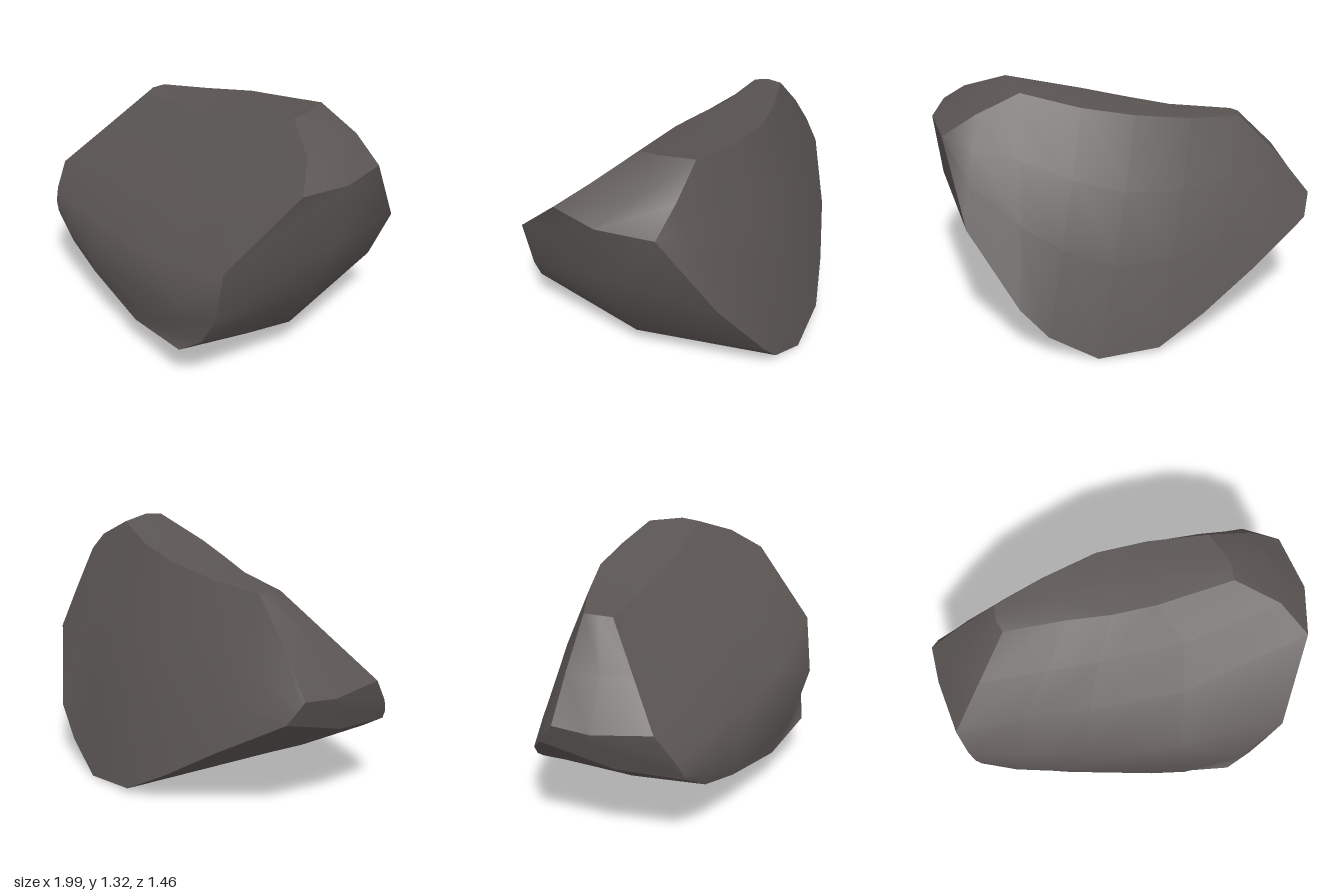
import * as THREE from 'three';

const lerp = (a, b, t) => a.map((v, i) => v + (b[i] - v) * t);
const centre = new THREE.Vector3(0, 0.6, -0.05);

// Smooth patch through rows of points, every triangle facing away from the centre
function loft(rows) {
  const cols = rows[0].length;
  const pts = rows.flat().map(p => new THREE.Vector3(...p));
  const index = [];
  const tri = (a, b, c) => {
    const n = pts[b].clone().sub(pts[a]).cross(pts[c].clone().sub(pts[a]));
    if (n.length() < 1e-7) return;
    if (n.dot(pts[a].clone().sub(centre)) > 0) index.push(a, b, c);
    else index.push(a, c, b);
  };
  for (let r = 0; r < rows.length - 1; r++) {
    for (let c = 0; c < cols - 1; c++) {
      const i = r * cols + c;
      tri(i, i + 1, i + cols);
      tri(i + 1, i + cols + 1, i + cols);
    }
  }
  const g = new THREE.BufferGeometry().setFromPoints(pts);
  g.setIndex(index);
  g.computeVertexNormals();
  return g;
}

// Front surface: a sloping plane rounding softly into a steep lower wall
function front(x, y) {
  const slope = 1.231 + 0.296 * x - 1.06 * y;
  const wall = 0.625 + 0.27 * x;
  return [x, y, (slope + wall - Math.hypot(slope - wall, 0.1)) / 2];
}

export function createModel() {
  const stone = new THREE.MeshStandardMaterial({ color: 0x5a5553 });
  stone.name = 'darkStone';
  const group = new THREE.Group();
  group.name = 'rock';
  const add = (name, rows) => {
    const mesh = new THREE.Mesh(loft(rows), stone);
    mesh.name = name;
    group.add(mesh);
  };

  // Crest edges, left end to right end
  const crestFront = [[-0.59, 1.1, -0.11], [-0.26, 1.13, -0.07], [-0.03, 1.17, -0.02], [0.2, 1.22, 0.01], [0.6, 1.31, 0.02]];
  const crestMid = [[-0.61, 1.11, -0.18], [-0.3, 1.14, -0.2], [-0.02, 1.185, -0.19], [0.23, 1.24, -0.17], [0.61, 1.32, -0.08]];
  const crestBack = [[-0.6, 1.11, -0.26], [-0.32, 1.14, -0.33], [-0.02, 1.19, -0.37], [0.25, 1.235, -0.34], [0.55, 1.305, -0.26]];
  // Shoulder facets: rows from the crest outward, each front to back
  const endRow = i => [crestFront[i], crestMid[i], crestBack[i]];
  const leftShoulder = [endRow(0),
    [[-0.78, 0.88, 0.05], [-0.83, 0.88, -0.1], [-0.82, 0.88, -0.28]],
    [[-0.97, 0.66, 0.21], [-1, 0.64, -0.1], [-0.99, 0.66, -0.3]]];
  const rightShoulder = [endRow(4),
    [[0.81, 1.215, 0.17], [0.83, 1.22, -0.1], [0.78, 1.2, -0.26]],
    [[0.92, 1.095, 0.33], [0.99, 1.09, 0.07], [0.95, 1.085, -0.23]]];
  // Underside curves, from the upper right corner down and round to the left
  const underFront = [[0.92, 1.095, 0.33], [0.72, 0.74, 0.66], [0.66, 0.45, 0.65], [0.58, 0.3, 0.665], [0.45, 0.21, 0.695],
    [0.03, 0.165, 0.6], [-0.43, 0.235, 0.48], [-0.7, 0.3, 0.4], [-0.89, 0.41, 0.345]];
  const underMid = [[0.99, 1.09, 0.07], [0.95, 0.76, 0.08], [0.8, 0.43, 0.05], [0.64, 0.165, 0.05], [0.39, 0.005, 0.1],
    [-0.02, 0.005, 0.05], [-0.4, 0.15, 0], [-0.65, 0.27, 0], [-0.93, 0.44, 0]];
  const underBack = [[0.95, 1.085, -0.23], [0.86, 0.68, -0.51], [0.62, 0.29, -0.67], [0.48, 0.13, -0.69], [0.23, 0, -0.73],
    [-0.09, 0.03, -0.72], [-0.34, 0.17, -0.65], [-0.62, 0.35, -0.55], [-0.95, 0.55, -0.38]];
  // Left rim of the front face, top to bottom
  const leftRim = [leftShoulder[2][0], [-0.94, 0.53, 0.3], [-0.915, 0.46, 0.335], [-0.9, 0.43, 0.34], underFront[8]];

  add('crest', [crestFront, crestMid, crestBack]);
  add('leftShoulder', leftShoulder);
  add('rightShoulder', rightShoulder);
  add('rightSideAndBase', [underFront, underMid, underBack]);

  add('frontFace', [
    crestFront,
    [leftShoulder[1][0], front(-0.42, 0.94), front(-0.15, 0.98), front(0.3, 1.06), rightShoulder[1][0]],
    [leftRim[0], front(-0.6, 0.73), front(-0.25, 0.78), front(0.25, 0.86), underFront[0]],
    [leftRim[1], front(-0.66, 0.54), front(-0.32, 0.57), front(0.18, 0.61), underFront[1]],
    [leftRim[2], front(-0.7, 0.44), front(-0.38, 0.42), front(0.2, 0.43), [0.48, 0.5, 0.725], underFront[2]].filter((p, i) => i !== 3),
    [leftRim[3], front(-0.71, 0.37), front(-0.42, 0.32), front(0.2, 0.29), underFront[3]],
    [leftRim[4], underFront[7], underFront[6], underFront[5], underFront[4]],
  ]);

  // Small end facet on the left
  const column = (a, b) => [0, 0.25, 0.5, 0.75, 1].map(t => lerp(a, b, t));
  add('leftEnd', [leftRim, column(leftShoulder[2][1], underMid[8]), column(leftShoulder[2][2], underBack[8])]);

  // Back face, slightly bulged between its upper and lower edges
  const upper = [leftShoulder[2][2], leftShoulder[1][2], ...crestBack, rightShoulder[1][2], rightShoulder[2][2]];
  const lower = [...underBack].reverse();
  add('backFace', [0, 0.3, 0.6, 1].map(t => upper.map((p, i) => {
    const q = lerp(p, lower[i], t);
    q[2] -= 0.05 * Math.sin(Math.PI * t) * Math.sin(Math.PI * i / 8);
    return q;
  })));

  return group;
}
